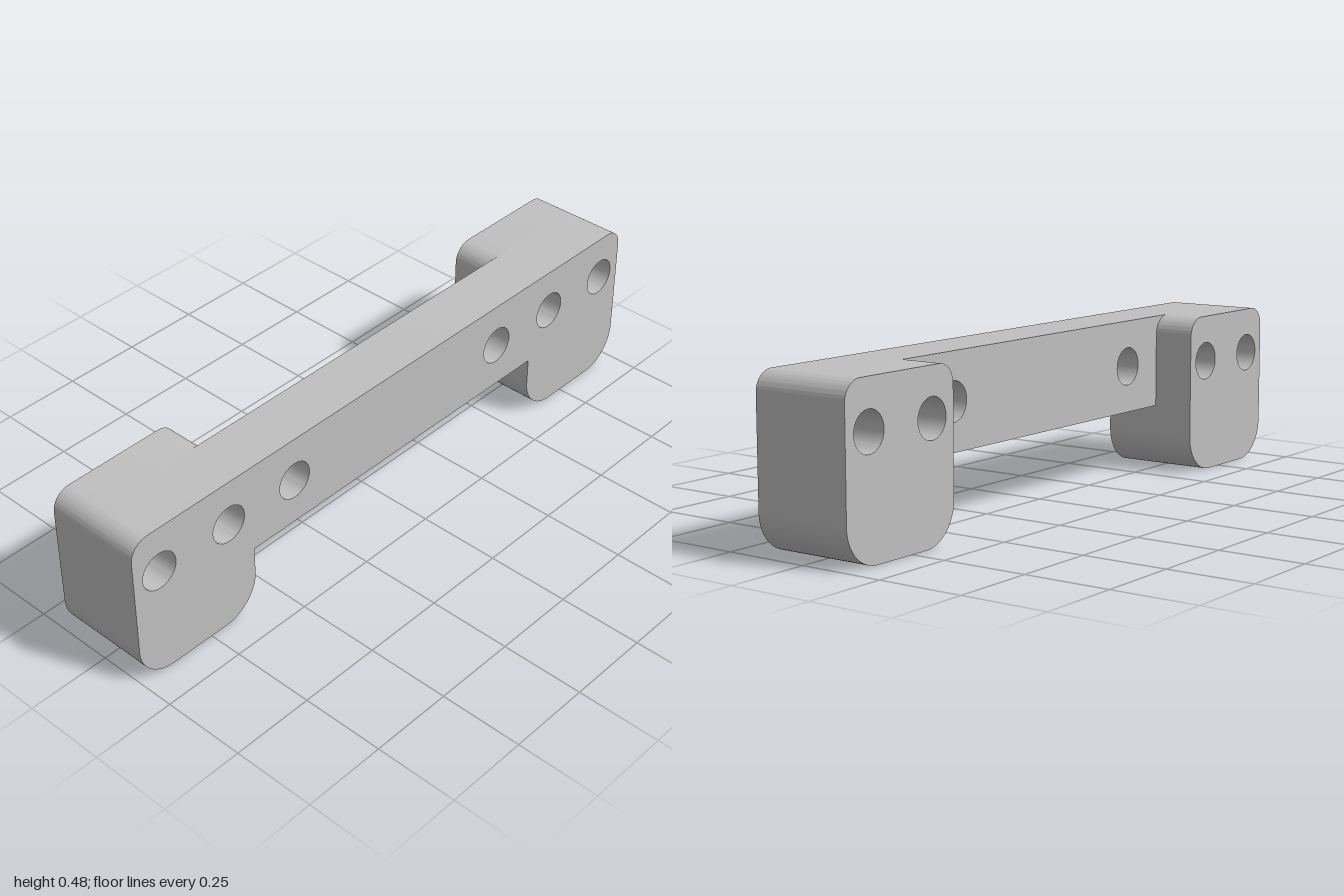
import * as THREE from 'three';
import { toCreasedNormals } from 'three/addons/utils/BufferGeometryUtils.js';

const TOP = 0.478, BAR_BOTTOM = 0.2, INNER = 0.58;
const BACK = -0.147, STEP = -0.022, FRONT = 0.147;
const HOLE_Y = 0.34, HOLE_R = 0.057;
const R_TOP = 0.057, R_FOOT = 0.115;

// Closed outline from [x, y, cornerRadius] points, with screw holes at the given x positions
function plateShape(points, holes) {
  const shape = new THREE.Shape();
  const n = points.length;
  points.forEach(([x, y, r], i) => {
    const p = new THREE.Vector2(x, y);
    const toward = ([a, b]) => new THREE.Vector2(a, b).sub(p).normalize().multiplyScalar(r);
    const before = toward(points[(i + n - 1) % n]);
    const after = toward(points[(i + 1) % n]);
    const start = p.clone().add(before);
    if (i === 0) shape.moveTo(start.x, start.y);
    else shape.lineTo(start.x, start.y);
    if (r > 0) {
      const c = start.clone().add(after);
      const a0 = Math.atan2(-after.y, -after.x);
      const a1 = Math.atan2(-before.y, -before.x);
      const clockwise = before.x * after.y - before.y * after.x > 0;
      shape.absarc(c.x, c.y, r, a0, a1, clockwise);
    }
  });
  shape.closePath();
  for (const x of holes) {
    shape.holes.push(new THREE.Path().absarc(x, HOLE_Y, HOLE_R, 0, Math.PI * 2, true));
  }
  return shape;
}

function plate(name, shape, z0, z1, material) {
  const geo = new THREE.ExtrudeGeometry(shape, { depth: z1 - z0, bevelEnabled: false, curveSegments: 20 });
  geo.translate(0, 0, z0);
  const mesh = new THREE.Mesh(toCreasedNormals(geo, 0.5), material);
  mesh.name = name;
  return mesh;
}

export function createModel() {
  const group = new THREE.Group();
  group.name = 'mountingBracket';
  const grey = new THREE.MeshStandardMaterial({ color: 0xc0c0c0 });
  grey.name = 'grey';

  // Front layer: crossbar and both feet in one piece
  const bar = plateShape([
    [-1, 0, R_FOOT], [-INNER, 0, R_FOOT], [-INNER, BAR_BOTTOM, 0], [INNER, BAR_BOTTOM, 0],
    [INNER, 0, R_FOOT], [1, 0, R_FOOT], [1, TOP, R_TOP], [-1, TOP, R_TOP],
  ], [-0.912, -0.667, -0.422, 0.422, 0.667, 0.912]);
  group.add(plate('crossbar', bar, STEP, FRONT, grey));

  // Rear blocks that thicken each end
  for (const [name, x0, x1, holes] of [
    ['leftEndBlock', INNER, 1, [0.667, 0.912]],
    ['rightEndBlock', -1, -INNER, [-0.912, -0.667]],
  ]) {
    const block = plateShape([
      [x0, 0, R_FOOT], [x1, 0, R_FOOT], [x1, TOP, R_TOP], [x0, TOP, R_TOP],
    ], holes);
    group.add(plate(name, block, BACK, STEP, grey));
  }
  return group;
}
